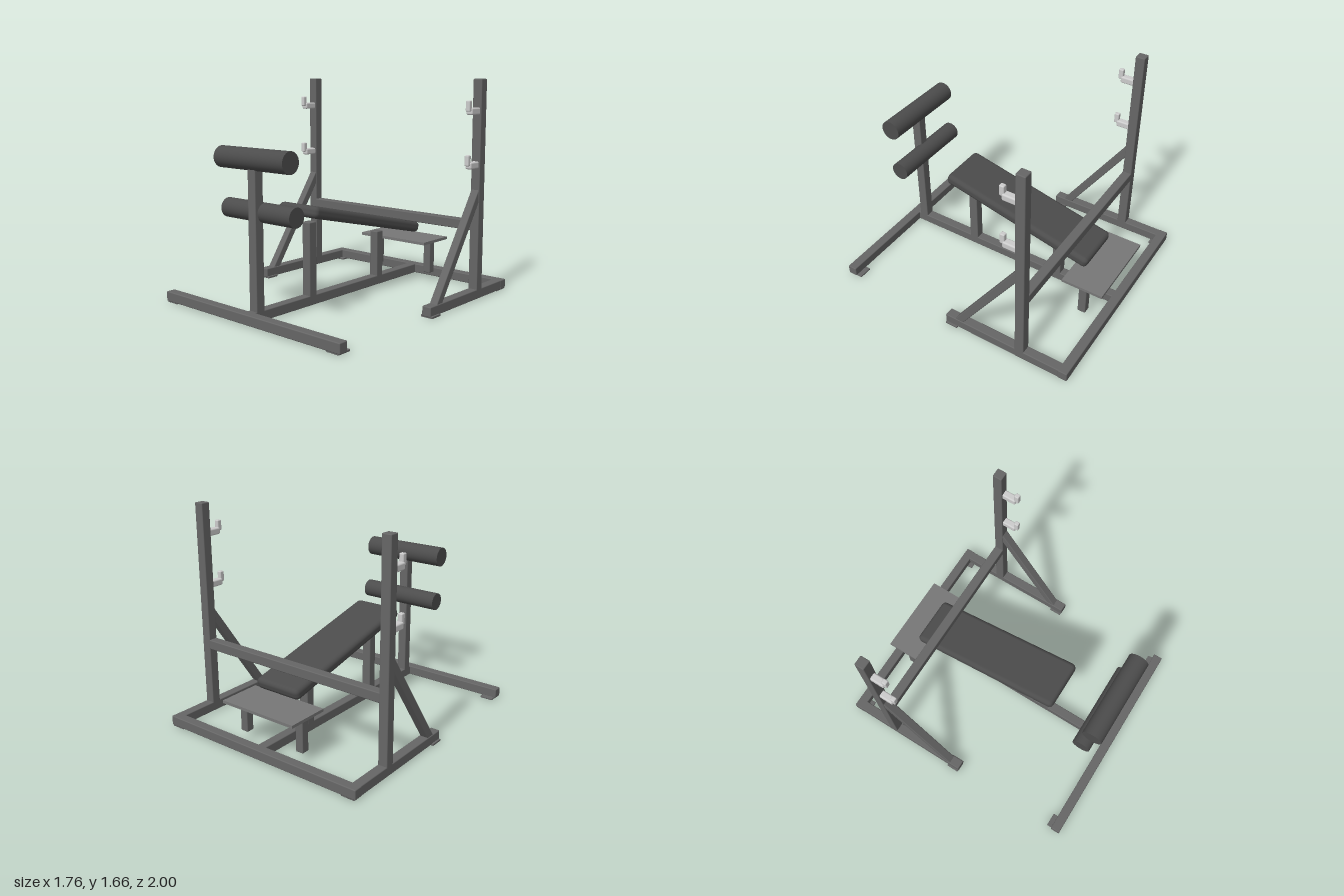
import * as THREE from 'three';
import { RoundedBoxGeometry } from 'three/addons/geometries/RoundedBoxGeometry.js';

const frameMat = new THREE.MeshStandardMaterial({ color: 0x666666 });
const padMat = new THREE.MeshStandardMaterial({ color: 0x4c4c4c });
const plateMat = new THREE.MeshStandardMaterial({ color: 0x777777 });
const hookMat = new THREE.MeshStandardMaterial({ color: 0xcccccc });

const TUBE = 0.074; // side of the square steel tube
const RAIL_Y = 0.045; // centre height of the floor rails
const SIDE_X = 0.828; // centre of the side rails and uprights

export function createModel() {
  const model = new THREE.Group();
  model.name = 'weightBench';

  function add(name, geometry, material, x, y, z) {
    const mesh = new THREE.Mesh(geometry, material);
    mesh.name = name;
    mesh.position.set(x, y, z);
    model.add(mesh);
    return mesh;
  }

  // Box with slightly rounded edges
  const box = (name, w, h, d, x, y, z, material = frameMat, r = 0.007) =>
    add(name, new RoundedBoxGeometry(w, h, d, 2, r), material, x, y, z);

  // Vertical square tube between two heights
  const post = (name, x, z, y0, y1, size = TUBE) =>
    box(name, size, y1 - y0, size, x, (y0 + y1) / 2, z);

  // Floor frame
  box('frontRail', 1.735, TUBE, TUBE, 0, RAIL_Y, 0.96);
  box('rearRail', 1.735, TUBE, TUBE, 0, RAIL_Y, -0.963);
  box('spineRail', TUBE, TUBE, 1.88, 0, RAIL_Y, 0);

  // Seat posts and leg-roller post
  post('frontSeatPost', 0, 0.348, 0.06, 0.63);
  post('rearSeatPost', 0, -0.437, 0.06, 0.445);
  post('rollerPost', 0, 0.873, 0.06, 1.09);

  // Inclined bench pad
  const pad = box('benchPad', 0.39, 0.088, 1.28, 0, 0.592, -0.143, padMat, 0.035);
  pad.rotation.x = -THREE.MathUtils.degToRad(13);

  // Foam rollers
  for (const [name, r, y, z] of [['upperRoller', 0.077, 1.128, 0.872], ['lowerRoller', 0.07, 0.762, 0.82]]) {
    const roller = add(name, new THREE.CylinderGeometry(r, r, 0.675, 40), padMat, 0, y, z);
    roller.rotation.z = Math.PI / 2;
  }

  // Spotter step
  add('stepPlate', new THREE.BoxGeometry(0.65, 0.022, 0.33), plateMat, 0, 0.344, -0.807);

  // Crossbar between the uprights
  box('crossbar', 1.6, TUBE, TUBE, 0, 0.568, -0.608);

  for (const [side, s] of [['left', 1], ['right', -1]]) {
    const x = s * SIDE_X;
    box(side + 'SideRail', TUBE, TUBE, 1.035, x, RAIL_Y, -0.4825);
    post(side + 'Upright', x, -0.608, 0.008, 1.662);
    post(side + 'StepLeg', s * 0.263, -0.803, 0.075, 0.336, 0.064);

    // Diagonal brace from the rail up to the upright
    const dz = -0.535, dy = 0.782;
    const brace = box(side + 'Brace', 0.064, Math.hypot(dz, dy), 0.06, x, 0.441, -0.3325);
    brace.rotation.x = Math.atan2(dz, dy);

    // Floor pads
    box(side + 'RailFoot', 0.1, 0.016, 0.1, x, 0.008, -0.02, frameMat, 0.003);
    for (const [end, z] of [['Front', 0.938], ['Rear', -0.942]])
      box(side + end + 'Foot', 0.105, 0.014, 0.11, s * 0.803, 0.007, z, frameMat, 0.003);

    // Bar hooks: an arm with an upright lip at two heights
    for (const [level, y] of [['Lower', 1.005], ['Upper', 1.402]]) {
      box(side + level + 'HookArm', 0.054, 0.052, 0.115, x, y + 0.026, -0.522, hookMat, 0.012);
      box(side + level + 'HookLip', 0.036, 0.08, 0.038, x, y + 0.065, -0.46, hookMat, 0.008);
    }
  }

  return model;
}
